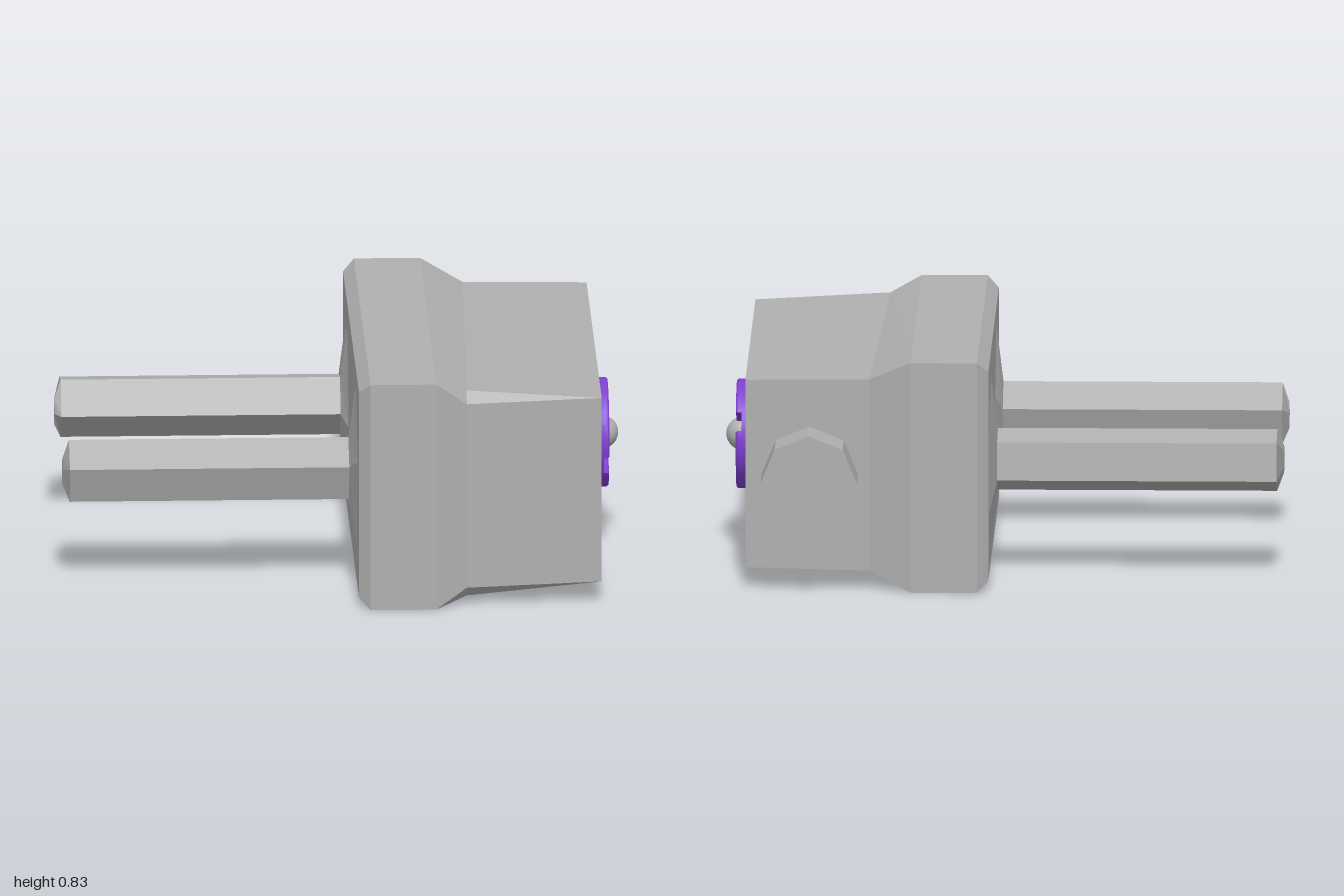
import * as THREE from 'three';

// Skins a list of rings running towards +x; each ring turns anticlockwise seen from +x.
function loft(rings) {
  const out = [];
  const tri = (a, b, c) => {
    const [A, B, C] = [a, b, c].map((p) => new THREE.Vector3(...p));
    if (B.clone().sub(A).cross(C.clone().sub(A)).length() > 1e-8) out.push(...a, ...b, ...c);
  };
  const n = rings[0].length;
  for (let i = 0; i < rings.length - 1; i++) {
    for (let j = 0; j < n; j++) {
      const k = (j + 1) % n;
      tri(rings[i][j], rings[i][k], rings[i + 1][k]);
      tri(rings[i][j], rings[i + 1][k], rings[i + 1][j]);
    }
  }
  const first = rings[0], last = rings[rings.length - 1];
  for (let j = 1; j < n - 1; j++) {
    tri(first[0], first[j + 1], first[j]);
    tri(last[0], last[j], last[j + 1]);
  }
  const g = new THREE.BufferGeometry();
  g.setAttribute('position', new THREE.Float32BufferAttribute(out, 3));
  g.computeVertexNormals();
  return g;
}

// Rectangular ring whose front corners may be cut by c and whose back edge may sit elsewhere.
function boxRing(x, y0, y1, z0, z1, c = 0, xBack = x, y0Back = y0, y1Back = y1) {
  return [
    [x, y0 + c, z1], [x, y0, z1 - c],
    [xBack, y0Back, z0], [xBack, y1Back, z0],
    [x, y1, z1 - c], [x, y1 - c, z1],
  ];
}

// Five-sided ring; turn leans the upper ridge towards the back.
function pentagon(x, y, z, ry, rz, turn) {
  return Array.from({ length: 5 }, (_, i) => {
    const a = Math.PI / 2 - turn + (i * Math.PI * 2) / 5;
    return [x, y + Math.sin(a) * ry, z - Math.cos(a) * rz];
  });
}

export function createModel() {
  const grey = new THREE.MeshStandardMaterial({ color: 0xb0b0b0 });
  grey.name = 'grey metal';
  const purple = new THREE.MeshStandardMaterial({ color: 0x7e40d0 });
  purple.name = 'purple plastic';

  const model = new THREE.Group();
  const add = (name, geometry, material, parent = model) => {
    const mesh = new THREE.Mesh(geometry, material);
    mesh.name = name;
    parent.add(mesh);
    return mesh;
  };

  // Block with a thick collar on its left end, tapering to the dial face
  add('body', loft([
    boxRing(0.045, 0.04, 0.8, -0.73, 0.835),
    boxRing(0.085, 0.003, 0.837, -0.765, 0.875),
    boxRing(0.32, 0.003, 0.837, -0.765, 0.875),
    boxRing(0.43, 0.03, 0.79, -0.7, 0.83, 0.04, 0.47, 0.07, 0.765),
    boxRing(0.912, 0.08, 0.76, -0.695, 0.8),
  ]), grey);

  // Two five-sided prongs, each rising from a shallow flare
  const prongs = [
    { name: 'frontProng', z: 0.475, turn: 0, tipZ: 0.47 },
    { name: 'backProng', z: -0.388, turn: -0.43, tipZ: -0.33 },
  ];
  for (const { name, z, turn, tipZ } of prongs) {
    const lean = -turn;
    const tip = pentagon(-1, 0.41, tipZ, 0.05, 0.03, -lean);
    add(name, loft([
      tip,
      pentagon(-0.976, 0.415, z, 0.116, 0.117, -lean),
      pentagon(0.06, 0.415, z, 0.116, 0.117, -lean),
    ]), grey);
    add(name + 'Flare', loft([
      pentagon(0.02, 0.415, z, 0.117, 0.118, -lean),
      pentagon(0.047, 0.415, z * 1.06, 0.33, 0.25, -lean),
    ]), grey);
  }

  // Eight-sided bolt on the back
  const boltShape = new THREE.CylinderGeometry(0.172, 0.172, 0.2, 8).toNonIndexed();
  boltShape.computeVertexNormals();
  const bolt = add('bolt', boltShape, grey);
  bolt.rotation.x = Math.PI / 2;
  bolt.position.set(0.682, 0.42, -0.78);

  // Round dial: a thin disc with two raised halves leaving a slot between them
  const dial = new THREE.Group();
  dial.name = 'dial';
  dial.position.set(0.9, 0.42, 0.052);
  dial.rotation.y = Math.PI / 2;
  model.add(dial);

  const disc = add('dialDisc', new THREE.CylinderGeometry(0.195, 0.195, 0.04, 40), purple, dial);
  disc.rotation.x = Math.PI / 2;
  disc.position.z = 0.02;

  const gap = Math.asin(0.038 / 0.19);
  const half = new THREE.Shape();
  half.absarc(0, 0, 0.19, gap, Math.PI - gap, false);
  half.closePath();
  const halfGeometry = new THREE.ExtrudeGeometry(half, {
    depth: 0.016, bevelThickness: 0.006, bevelSize: 0.005, bevelSegments: 1, curveSegments: 24,
  });
  for (const side of [0, 1]) {
    const part = add(side ? 'lowerDialHalf' : 'upperDialHalf', halfGeometry, purple, dial);
    part.rotation.z = 0.41 + side * Math.PI;
    part.position.z = 0.038;
  }

  // Round pin in the middle of the dial
  const pin = add('dialPin', new THREE.SphereGeometry(0.06, 24, 16), grey, dial);
  pin.position.z = 0.038;

  return model;
}
